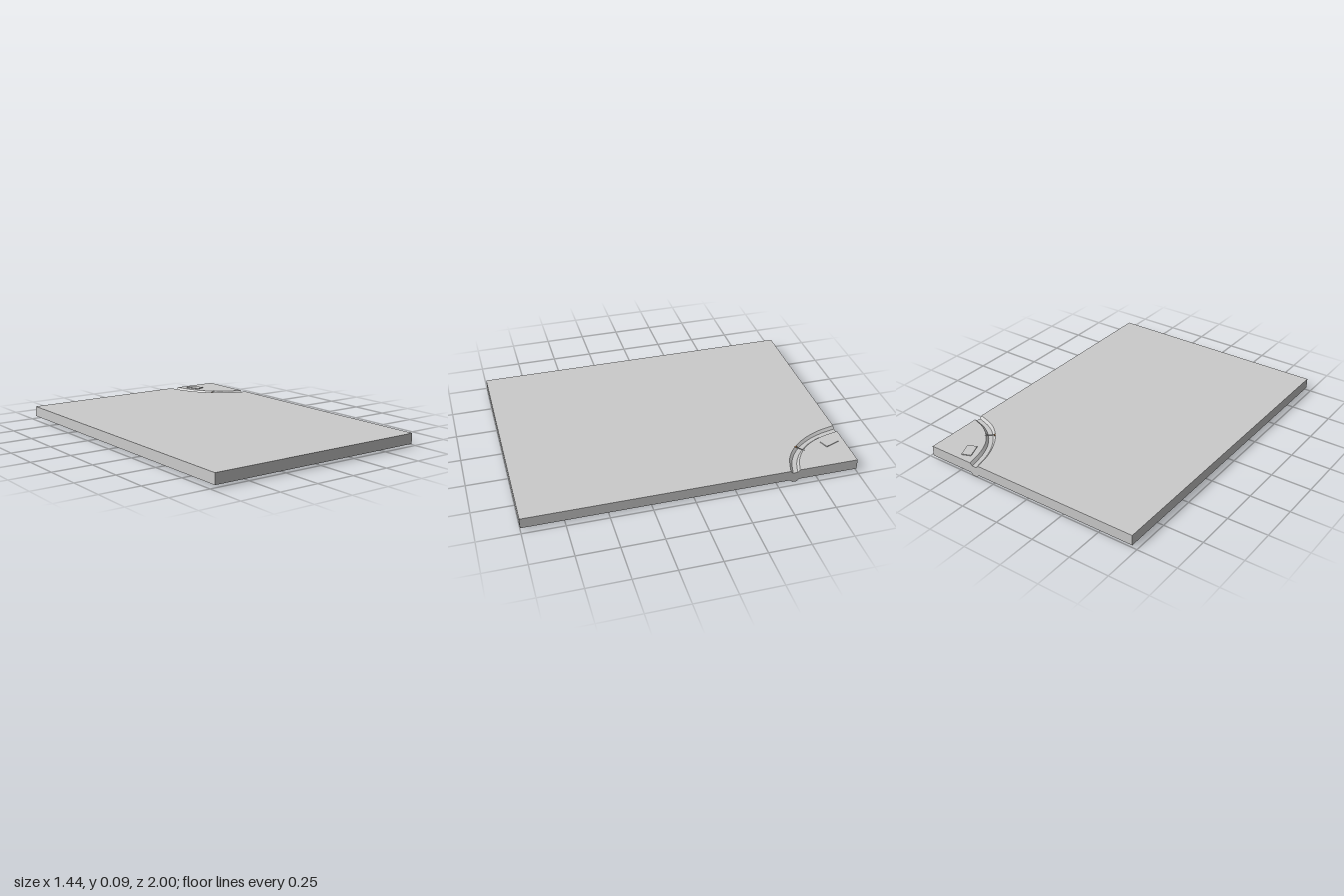
import * as THREE from 'three';

const W = 0.72, L = 1, TOP = 0.08, THICK = 0.065, DIP = 0.015;

// samples a bank line of the channel as [x, z]
function bank(points) {
  const curve = new THREE.CatmullRomCurve3(points.map(([x, z]) => new THREE.Vector3(x, 0, z)));
  return curve.getPoints(20).map(p => [p.x, p.z]);
}

export function createModel() {
  const group = new THREE.Group();
  const grey = new THREE.MeshStandardMaterial({ color: 0xcccccc, flatShading: true });
  const add = (name, geometry, material = grey) => {
    const mesh = new THREE.Mesh(geometry, material);
    mesh.name = name;
    group.add(mesh);
    return mesh;
  };

  // four rails across the channel: outer bank, two floor edges, inner bank
  const outer = bank([[0.36, -1], [0.39, -0.88], [0.44, -0.775], [0.51, -0.685], [0.6, -0.62], [0.72, -0.58]]);
  const inner = bank([[0.42, -1], [0.45, -0.88], [0.49, -0.795], [0.55, -0.725], [0.63, -0.67], [0.72, -0.638]]);
  const depth = [0, DIP, DIP, 0];
  const rails = [0, 0.26, 0.74, 1].map((t, k) => outer.map(([x, z], i) => new THREE.Vector3(
    x + (inner[i][0] - x) * t, TOP - depth[k], z + (inner[i][1] - z) * t)));
  const lower = p => new THREE.Vector3(p.x, p.y - THICK, p.z);

  const fromTriangles = list => {
    const g = new THREE.BufferGeometry().setFromPoints(list);
    g.computeVertexNormals();
    return g;
  };

  // flat ground outside and inside the bend, upper and lower skin
  const regions = {
    main: [[-W, -L], ...outer, [W, L], [-W, L]],
    corner: [[W, -L], ...inner],
  };
  for (const [name, outline] of Object.entries(regions)) {
    for (const s of [1, -1]) {
      const g = new THREE.ShapeGeometry(new THREE.Shape(outline.map(([x, z]) => new THREE.Vector2(x, -s * z))));
      g.rotateX(-s * Math.PI / 2);
      g.translate(0, s > 0 ? TOP : TOP - THICK, 0);
      add(name + (s > 0 ? 'GroundTop' : 'GroundUnderside'), g);
    }
  }

  // sunken channel with its matching ridge underneath
  const bed = [], ridge = [];
  for (let k = 0; k < 3; k++) {
    for (let i = 0; i < outer.length - 1; i++) {
      const a = rails[k][i], b = rails[k][i + 1], c = rails[k + 1][i], d = rails[k + 1][i + 1];
      bed.push(a, b, c, b, d, c);
      ridge.push(...[a, c, b, b, c, d].map(lower));
    }
  }
  add('channelBed', fromTriangles(bed));
  add('channelUnderside', fromTriangles(ridge));

  // outer walls follow the dip of the channel at both ends
  const corner = (x, z) => new THREE.Vector3(x, TOP, z);
  const last = outer.length - 1;
  const rim = [corner(-W, -L), ...rails.map(r => r[0]), corner(W, -L),
    ...rails.map(r => r[last]).reverse(), corner(W, L), corner(-W, L)];
  const walls = [];
  rim.forEach((a, i) => {
    const b = rim[(i + 1) % rim.length];
    walls.push(a, b, lower(a), b, lower(b), lower(a));
  });
  add('slabWalls', fromTriangles(walls));

  // low turned block in the corner
  const block = add('cornerBlock', new THREE.BoxGeometry(0.06, 0.006, 0.098));
  block.position.set(0.51, TOP + 0.002, -0.91);
  block.rotation.y = 0.37;

  // thin crossing over the channel, with a stud at each end
  const crossing = add('crossing', new THREE.BoxGeometry(0.055, 0.002, 0.006));
  crossing.position.set(0.525, TOP, -0.712);
  crossing.rotation.y = 0.67;
  const brown = new THREE.MeshStandardMaterial({ color: 0xb98a5a, flatShading: true });
  [[0.504, -0.697], [0.546, -0.729]].forEach(([x, z], i) => {
    const stud = add('crossingStud', new THREE.BoxGeometry(0.01, 0.006, 0.01), i ? grey : brown);
    stud.position.set(x, TOP, z);
    stud.rotation.y = 0.67;
  });

  return group;
}
